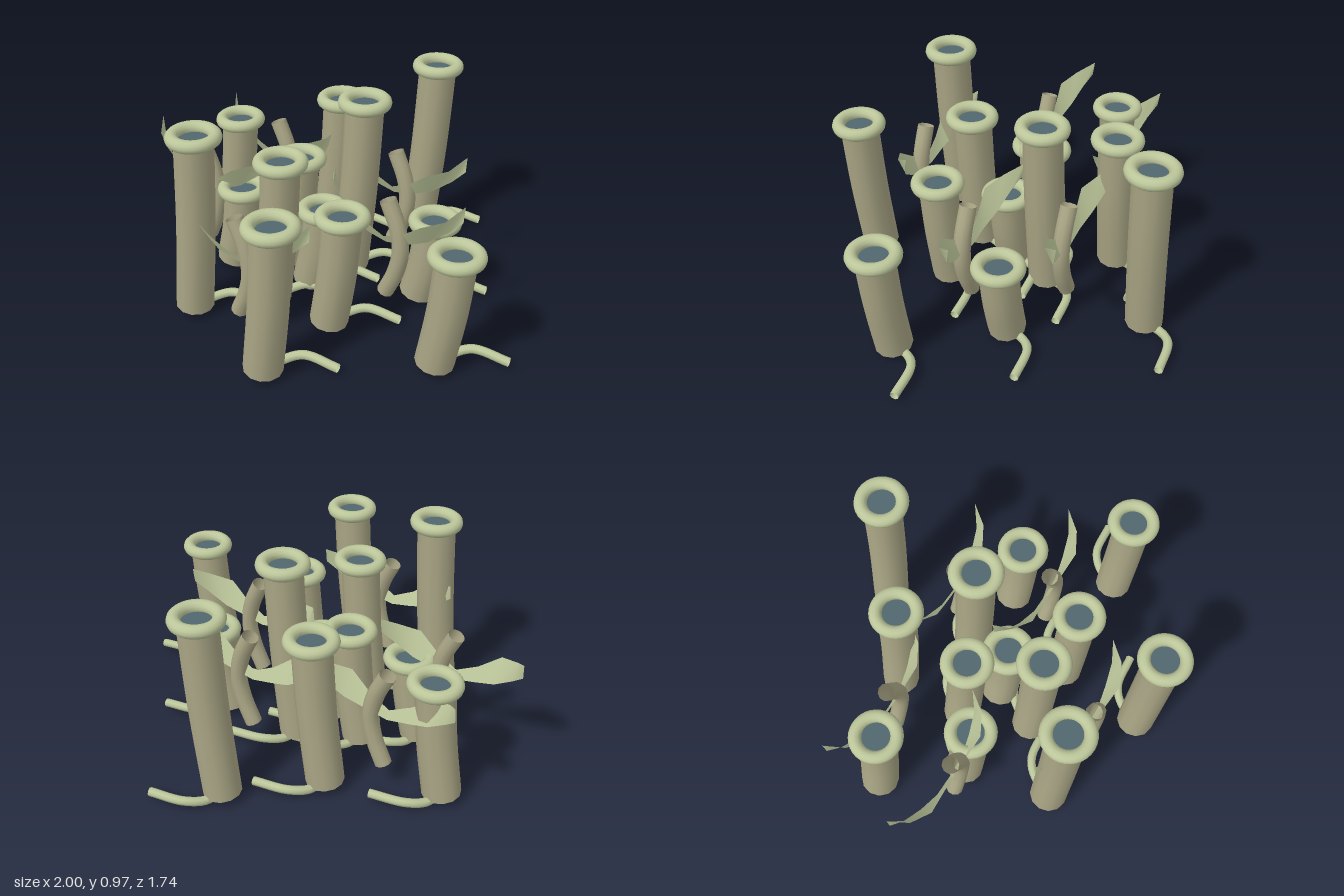
import * as THREE from 'three';

const bodyMat = new THREE.MeshStandardMaterial({ color: 0xa9a585, side: THREE.DoubleSide });
bodyMat.name = 'olive body';
const leafMat = new THREE.MeshStandardMaterial({ color: 0xbcc69a, side: THREE.DoubleSide });
leafMat.name = 'pale green';
const waterMat = new THREE.MeshStandardMaterial({ color: 0x50676e });
waterMat.name = 'slate water';

const v = (x, y, z) => new THREE.Vector3(x, y, z);

function add(parent, name, geometry, material) {
  const mesh = new THREE.Mesh(geometry, material);
  mesh.name = name;
  parent.add(mesh);
  return mesh;
}

function tube(points, radius, segments, sides) {
  return new THREE.TubeGeometry(new THREE.CatmullRomCurve3(points), segments, radius, sides);
}

// Leaning hollow trunk with a rolled lip, water inside and a curled root
function makePitcher(x, z, lipY) {
  const g = new THREE.Group();
  g.name = 'pitcher';
  g.position.set(x, 0, z);
  add(g, 'trunk', tube([v(-0.073, 0.035, 0), v(-0.028, lipY * 0.52, 0), v(0, lipY, 0)], 0.09, 16, 12), bodyMat);

  const lip = add(g, 'lip', new THREE.TorusGeometry(0.094, 0.03, 12, 32), leafMat);
  lip.rotation.x = Math.PI / 2;
  lip.position.y = lipY;

  const water = add(g, 'water', new THREE.CircleGeometry(0.088, 24), waterMat);
  water.rotation.x = -Math.PI / 2;
  water.position.y = lipY - 0.01;

  add(g, 'root', tube([
    v(-0.065, 0.021, 0), v(-0.04, 0.027, -0.09), v(0.03, 0.045, -0.157), v(0.2, 0.035, -0.178),
  ], 0.021, 20, 8), leafMat);
  return g;
}

// Blade sections: x, then y and z of the front edge, y and z of the back edge
const SECTIONS = [
  [0, 0.44, 0.01, 0.40, -0.01],
  [0.1, 0.49, 0.02, 0.42, -0.01],
  [0.2, 0.57, 0.035, 0.46, -0.03],
  [0.29, 0.605, -0.015, 0.53, -0.055],
  [0.343, 0.66, -0.095, 0.585, -0.085],
];

function bladeGeometry(side) {
  const pos = [], index = [];
  SECTIONS.forEach(([x, fy, fz, by, bz], i) => {
    pos.push(side * x, fy, fz, side * x, by, bz);
    if (!i) return;
    const a = 2 * i - 2;
    if (side > 0) index.push(a, a + 1, a + 2, a + 1, a + 3, a + 2);
    else index.push(a, a + 2, a + 1, a + 1, a + 2, a + 3);
  });
  const geo = new THREE.BufferGeometry();
  geo.setAttribute('position', new THREE.Float32BufferAttribute(pos, 3));
  geo.setIndex(index);
  geo.computeVertexNormals();
  return geo;
}

// Bowed stalk with a mirrored pair of blades
function makeSprout(x, z) {
  const g = new THREE.Group();
  g.name = 'sprout';
  g.position.set(x, 0, z);
  add(g, 'stalk', tube([
    v(0.01, 0.63, 0), v(0.065, 0.5, 0), v(0.083, 0.38, 0), v(0.06, 0.26, 0), v(0.01, 0.14, 0),
  ], 0.04, 16, 10), bodyMat);
  add(g, 'leftBlade', bladeGeometry(1), leafMat);
  add(g, 'rightBlade', bladeGeometry(-1), leafMat);
  return g;
}

export function createModel() {
  const model = new THREE.Group();
  model.name = 'pitcherPlants';

  // Lip centre x, z and height
  const pitchers = [
    [0.14, -0.68, 0.94], [0.07, -0.14, 0.94], [-0.34, 0.56, 0.94],
    [-0.22, -0.38, 0.78], [-0.08, 0.3, 0.78], [0.21, 0.74, 0.78],
    [-0.71, -0.18, 0.615], [-0.21, -0.02, 0.615], [0.25, 0.3, 0.615], [0.8, 0.28, 0.615],
    [0.47, -0.13, 0.45], [-0.01, 0.08, 0.45], [-0.44, 0.14, 0.45],
  ];
  for (const p of pitchers) model.add(makePitcher(...p));

  const sprouts = [[-0.53, -0.25], [0.13, -0.31], [0.335, 0.085], [-0.657, 0.17], [-0.125, 0.585]];
  for (const s of sprouts) model.add(makeSprout(...s));
  return model;
}
